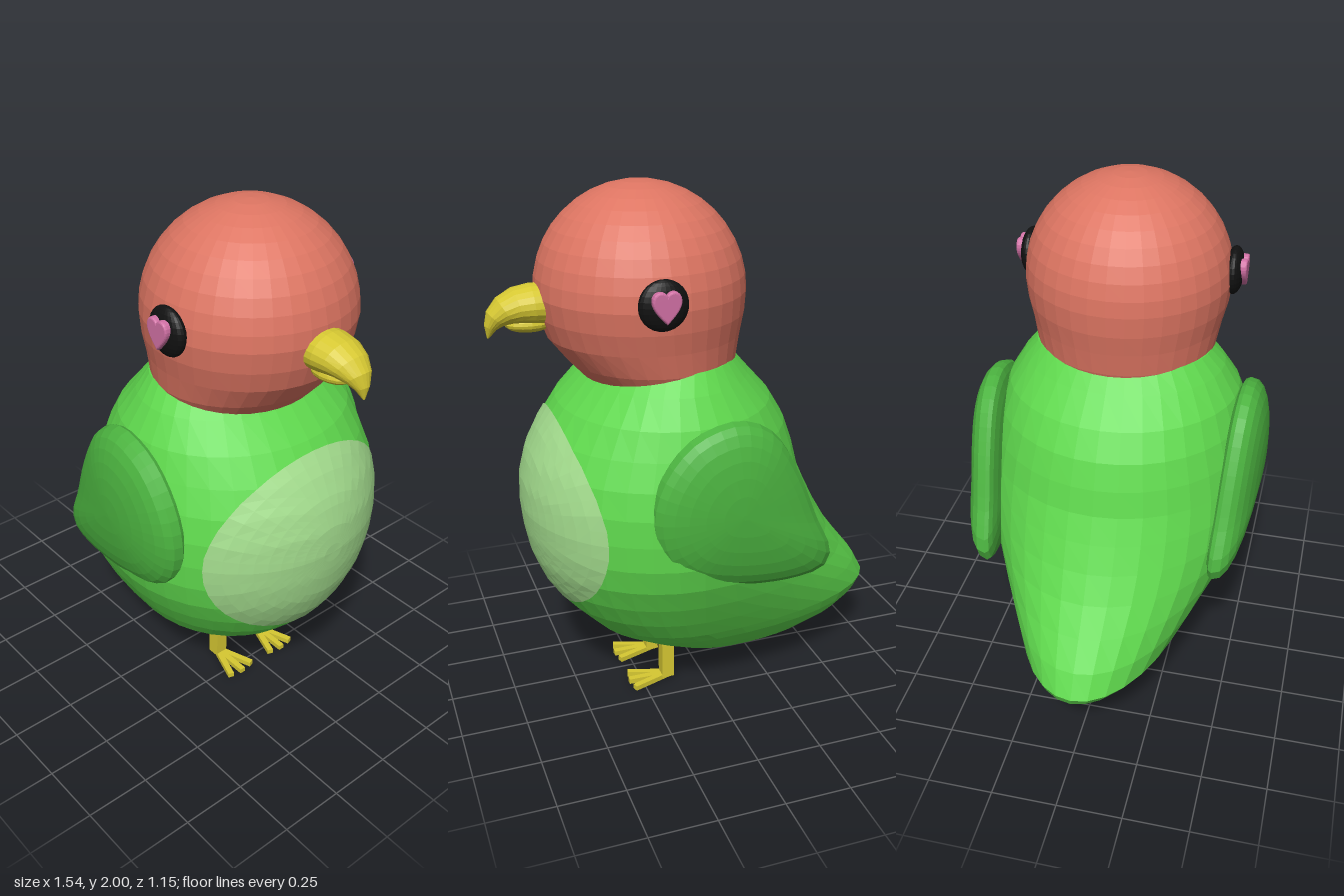
import * as THREE from 'three';

const mat = (color) => new THREE.MeshStandardMaterial({ color, flatShading: true });
const GREEN = mat(0x5fd84d), WING = mat(0x4cb440), BELLY = mat(0xa3dc8d), RED = mat(0xdd7562);
const YELLOW = mat(0xd6c832), BLACK = mat(0x111111), PINK = mat(0xd070a4);

// Skin a list of equal-length point rings and close both ends
function loft(rings) {
  const n = rings[0].length, pos = rings.flat().flatMap((p) => p.toArray()), index = [];
  for (let i = 0; i < rings.length - 1; i++) {
    for (let j = 0; j < n; j++) {
      const a = i * n + j, b = i * n + (j + 1) % n;
      index.push(a, a + n, b + n, a, b + n, b);
    }
  }
  [0, rings.length - 1].forEach((r, end) => {
    const c = new THREE.Vector3();
    rings[r].forEach((p) => c.addScaledVector(p, 1 / n));
    const k = pos.length / 3;
    pos.push(c.x, c.y, c.z);
    for (let j = 0; j < n; j++) {
      const a = r * n + j, b = r * n + (j + 1) % n;
      if (end) index.push(k, b, a); else index.push(k, a, b);
    }
  });
  const g = new THREE.BufferGeometry();
  g.setAttribute('position', new THREE.Float32BufferAttribute(pos, 3));
  g.setIndex(index);
  g.computeVertexNormals();
  return g;
}

const loop = (n, fn) => Array.from({ length: n }, (_, j) => fn((j / n) * Math.PI * 2));

// Horizontal egg section: separate front and back radii around a widest line
const section = ([y, back, mid, front, half, cz = 0]) => loop(36, (t) => {
  const c = Math.cos(t);
  return new THREE.Vector3(mid + c * (c > 0 ? front - mid : mid - back), y, cz + Math.sin(t) * half);
});

// y, back x, widest x, front x, half width, z offset
const BODY = [
  [0.12, -0.38, -0.2, 0, 0.06, -0.08], [0.15, -0.52, -0.1, 0.15, 0.16, -0.06],
  [0.2, -0.66, -0.05, 0.28, 0.24, -0.03], [0.26, -0.74, 0, 0.4, 0.31, -0.01],
  [0.31, -0.77, 0.05, 0.45, 0.355, 0], [0.4, -0.72, 0.08, 0.535, 0.41, 0],
  [0.5, -0.64, 0.1, 0.6, 0.465, 0], [0.6, -0.565, 0.12, 0.64, 0.51, 0],
  [0.7, -0.505, 0.13, 0.66, 0.535, 0], [0.8, -0.455, 0.13, 0.67, 0.54, 0],
  [0.9, -0.41, 0.13, 0.665, 0.535, 0], [1.0, -0.385, 0.13, 0.64, 0.515, 0],
  [1.1, -0.35, 0.12, 0.59, 0.485, 0], [1.2, -0.29, 0.12, 0.52, 0.45, 0],
  [1.3, -0.2, 0.12, 0.425, 0.39, 0], [1.37, -0.14, 0.1, 0.37, 0.335, 0],
];

// x of the chest surface at a given height and z
function chestX(y, z) {
  const i = BODY.findIndex((r) => r[0] > y), a = BODY[i - 1], b = BODY[i];
  const t = (y - a[0]) / (b[0] - a[0]);
  const [, , mid, front, half] = a.map((v, k) => v + (b[k] - v) * t);
  return mid + (front - mid) * Math.sqrt(1 - (z / half) ** 2);
}

function bellyGeometry() {
  const rings = [];
  for (let r = 1; r > 0.05; r -= 0.1) {
    rings.push(loop(40, (t) => {
      const y = 0.795 + Math.cos(t) * 0.375 * r, z = -Math.sin(t) * 0.435 * r;
      return new THREE.Vector3(chestX(y, z) + 0.006, y, z);
    }));
  }
  return loft(rings);
}

function headGeometry() {
  const rows = [
    [1.26, -0.1, 0.13, 0.36, 0.28], [1.3, -0.14, 0.14, 0.42, 0.315], [1.36, -0.16, 0.16, 0.475, 0.342],
    [1.45, -0.175, 0.18, 0.545, 0.36], [1.53, -0.19, 0.19, 0.572, 0.38],
  ];
  for (let i = 0; i < 10; i++) {
    const a = (i / 10) * Math.PI / 2, r = 0.39 * Math.cos(a);
    rows.push([1.61 + 0.39 * Math.sin(a), 0.195 - r, 0.195, 0.195 + r, r]);
  }
  rows.push([2, 0.194, 0.195, 0.196, 0.001]);
  return loft(rows.map(section));
}

// Puffed teardrop wing
function wingGeometry(s) {
  const outline = new THREE.CatmullRomCurve3([
    [0.1, 1.23], [0.25, 1.18], [0.36, 1.05], [0.4, 0.9], [0.37, 0.75], [0.28, 0.65], [0.1, 0.585],
    [-0.18, 0.56], [-0.3, 0.59], [-0.32, 0.65], [-0.25, 0.81], [-0.17, 1.0], [-0.08, 1.15], [0, 1.21],
  ].map(([x, y]) => new THREE.Vector3(x, y, 0)), true).getSpacedPoints(40).slice(0, 40);
  const rings = [];
  for (let i = 0; i <= 14; i++) {
    const a = 0.03 + (i / 14) * (Math.PI - 0.06), k = Math.sin(a), c = -Math.cos(a);
    const puff = Math.sign(c) * Math.abs(c) ** 0.8 * (c > 0 ? 0.11 : 0.05);
    rings.push(outline.map((p) => {
      const x = 0.08 + (p.x - 0.08) * k, y = 0.9 + (p.y - 0.9) * k;
      return new THREE.Vector3(x, y, s * (0.46 + 0.04 * x + 0.04 * (y - 0.9) + puff));
    }));
  }
  return loft(s > 0 ? rings : rings.reverse());
}

// Hooked upper beak: x, y, height radius, width radius, downward tilt
function beakGeometry() {
  return loft([
    [0.53, 1.58, 0.075, 0.09, 0], [0.6, 1.583, 0.072, 0.095, 0.05], [0.65, 1.58, 0.066, 0.088, 0.25],
    [0.695, 1.565, 0.055, 0.073, 0.55], [0.73, 1.54, 0.04, 0.052, 0.85], [0.75, 1.508, 0.023, 0.028, 1.15],
    [0.76, 1.47, 0.004, 0.004, 1.4],
  ].map(([x, y, h, w, tilt]) => loop(20, (t) => {
    const v = Math.cos(t) * h;
    return new THREE.Vector3(x + v * Math.sin(tilt), y + v * Math.cos(tilt), -Math.sin(t) * w);
  })));
}

function heartGeometry() {
  const h = new THREE.Shape();
  h.moveTo(0, -0.05);
  h.bezierCurveTo(-0.02, -0.03, -0.045, -0.005, -0.045, 0.02);
  h.bezierCurveTo(-0.045, 0.052, -0.008, 0.055, 0, 0.028);
  h.bezierCurveTo(0.008, 0.055, 0.045, 0.052, 0.045, 0.02);
  h.bezierCurveTo(0.045, -0.005, 0.02, -0.03, 0, -0.05);
  return new THREE.ExtrudeGeometry(h, {
    depth: 0.02, bevelSize: 0.007, bevelThickness: 0.009, bevelSegments: 3, curveSegments: 8,
  });
}

export function createModel() {
  const bird = new THREE.Group();
  bird.name = 'bird';
  const add = (name, geometry, material, x = 0, y = 0, z = 0, parent = bird) => {
    const m = new THREE.Mesh(geometry, material);
    m.name = name;
    m.position.set(x, y, z);
    parent.add(m);
    return m;
  };

  add('bodyAndTail', loft(BODY.map(section)), GREEN);
  add('bellyPatch', bellyGeometry(), BELLY);
  add('head', headGeometry(), RED);
  add('upperBeak', beakGeometry(), YELLOW);
  add('lowerBeak', new THREE.SphereGeometry(1, 16, 10), YELLOW, 0.61, 1.515, 0).scale.set(0.09, 0.035, 0.06);

  for (const s of [1, -1]) {
    const side = s > 0 ? 'left' : 'right';
    add(side + 'Wing', wingGeometry(s), WING, s > 0 ? 0 : -0.085);

    // Eye with a heart-shaped highlight
    add(side + 'Eye', new THREE.SphereGeometry(1, 24, 14), BLACK, 0.23, 1.64, s * 0.39).scale.set(0.09, 0.09, 0.037);
    const heart = add(side + 'EyeHeart', heartGeometry(), PINK, 0.23, 1.643, s * 0.41);
    if (s < 0) heart.rotation.y = Math.PI;

    // Leg and three fanned toes
    const leg = new THREE.Group();
    leg.name = side + 'Leg';
    leg.position.set(0.145, 0, s > 0 ? 0.097 : -0.122);
    bird.add(leg);
    add('shin', new THREE.BoxGeometry(0.05, 0.23, 0.05), YELLOW, 0, 0.125, 0, leg);
    for (const turn of [-0.33, 0, 0.33]) {
      const toe = new THREE.BoxGeometry(0.18, 0.02, 0.024).translate(0.08, 0.011, 0);
      add('toe', toe, YELLOW, -0.01, 0, 0, leg).rotation.y = turn;
    }
  }
  return bird;
}
